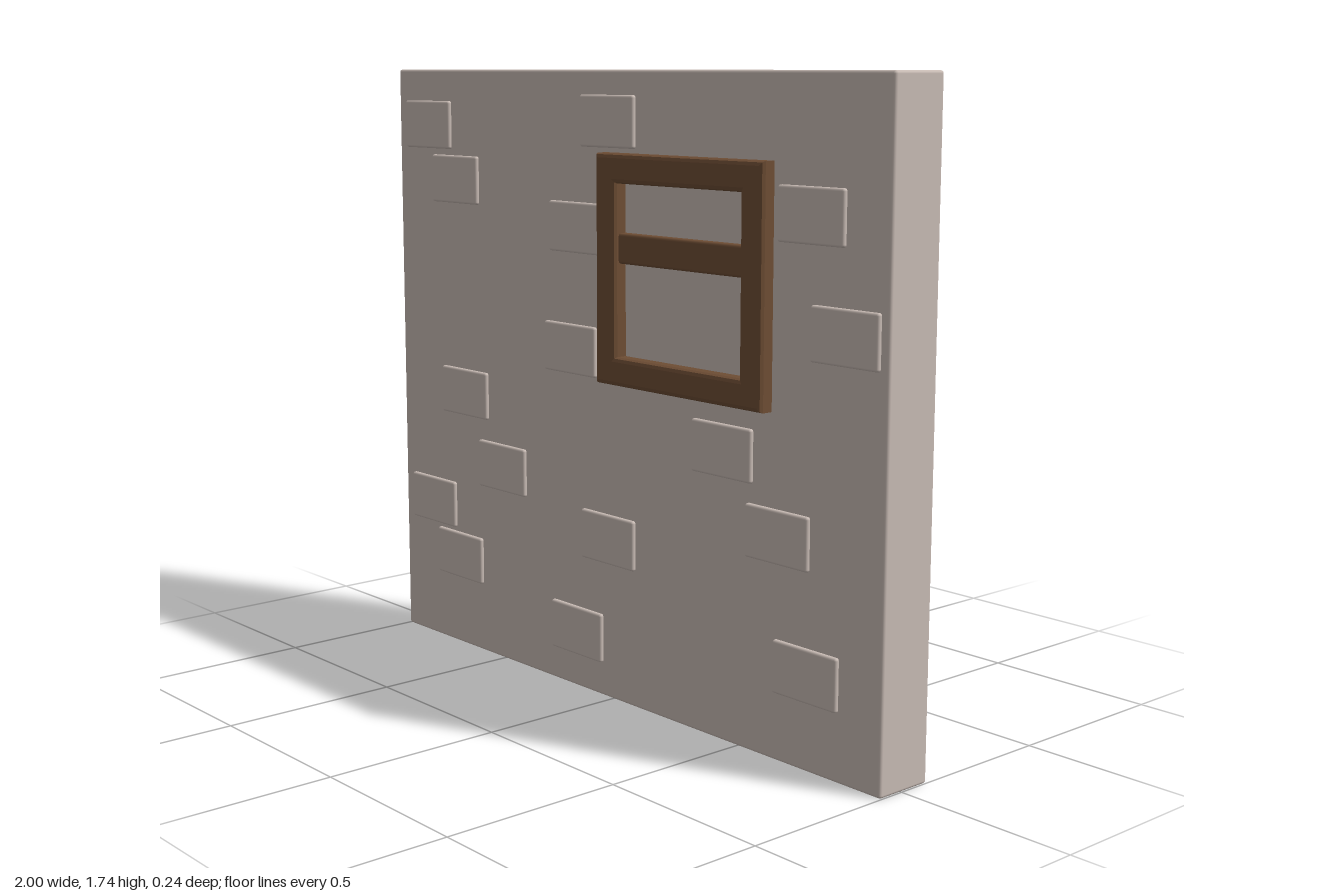
import * as THREE from 'three';
import { RoundedBoxGeometry } from 'three/addons/geometries/RoundedBoxGeometry.js';

export function createModel() {
  const model = new THREE.Group();
  model.name = 'wallWithWindow';

  const plaster = new THREE.MeshStandardMaterial({ color: 0xc8bbb4 });
  plaster.name = 'plaster';
  const wood = new THREE.MeshStandardMaterial({ color: 0x6e4d34 });
  wood.name = 'wood';

  const add = (name, geometry, material, x, y, z) => {
    const mesh = new THREE.Mesh(geometry, material);
    mesh.name = name;
    mesh.position.set(x, y, z);
    model.add(mesh);
    return mesh;
  };

  // Solid wall slab with softened edges
  add('wall', new RoundedBoxGeometry(2, 1.74, 0.17, 2, 0.008), plaster, 0, 0.87, -0.007);

  // Raised bricks scattered over the front face (centre x, y)
  const bricks = [
    [-0.843, 1.578], [-0.71, 1.42], [-0.013, 1.604], [-0.15, 1.312],
    [-0.174, 0.973], [0.746, 1.396], [0.862, 1.112], [-0.675, 0.786],
    [-0.495, 0.583], [-0.843, 0.43], [-0.71, 0.278], [-0.013, 0.457],
    [-0.15, 0.166], [0.44, 0.777], [0.642, 0.586], [0.746, 0.251],
  ];
  const brickGeometry = new RoundedBoxGeometry(0.222, 0.14, 0.04, 2, 0.007);
  bricks.forEach(([x, y], i) => add(`brick${i + 1}`, brickGeometry, plaster, x, y, 0.069));

  // Window frame running through the wall and standing out on both faces
  const rectangle = (path, x0, y0, x1, y1) => {
    path.moveTo(x0, y0);
    path.lineTo(x1, y0);
    path.lineTo(x1, y1);
    path.lineTo(x0, y1);
    path.closePath();
    return path;
  };
  const bevel = 0.012;
  const depth = 0.24;
  const outline = rectangle(new THREE.Shape(), -0.02, 0.9, 0.615, 1.522);
  outline.holes.push(rectangle(new THREE.Path(), 0.058, 0.978, 0.537, 1.443));
  const frameGeometry = new THREE.ExtrudeGeometry(outline, {
    depth: depth - 2 * bevel,
    bevelEnabled: true,
    bevelThickness: bevel,
    bevelSize: bevel,
    bevelOffset: -bevel,
    bevelSegments: 2,
  });
  add('windowFrame', frameGeometry, wood, 0, 0, -depth / 2 + bevel);

  // Crossbar spanning the opening
  add('windowCrossbar', new RoundedBoxGeometry(0.5, 0.082, 0.205, 2, 0.008), wood, 0.2975, 1.27, 0);

  return model;
}
